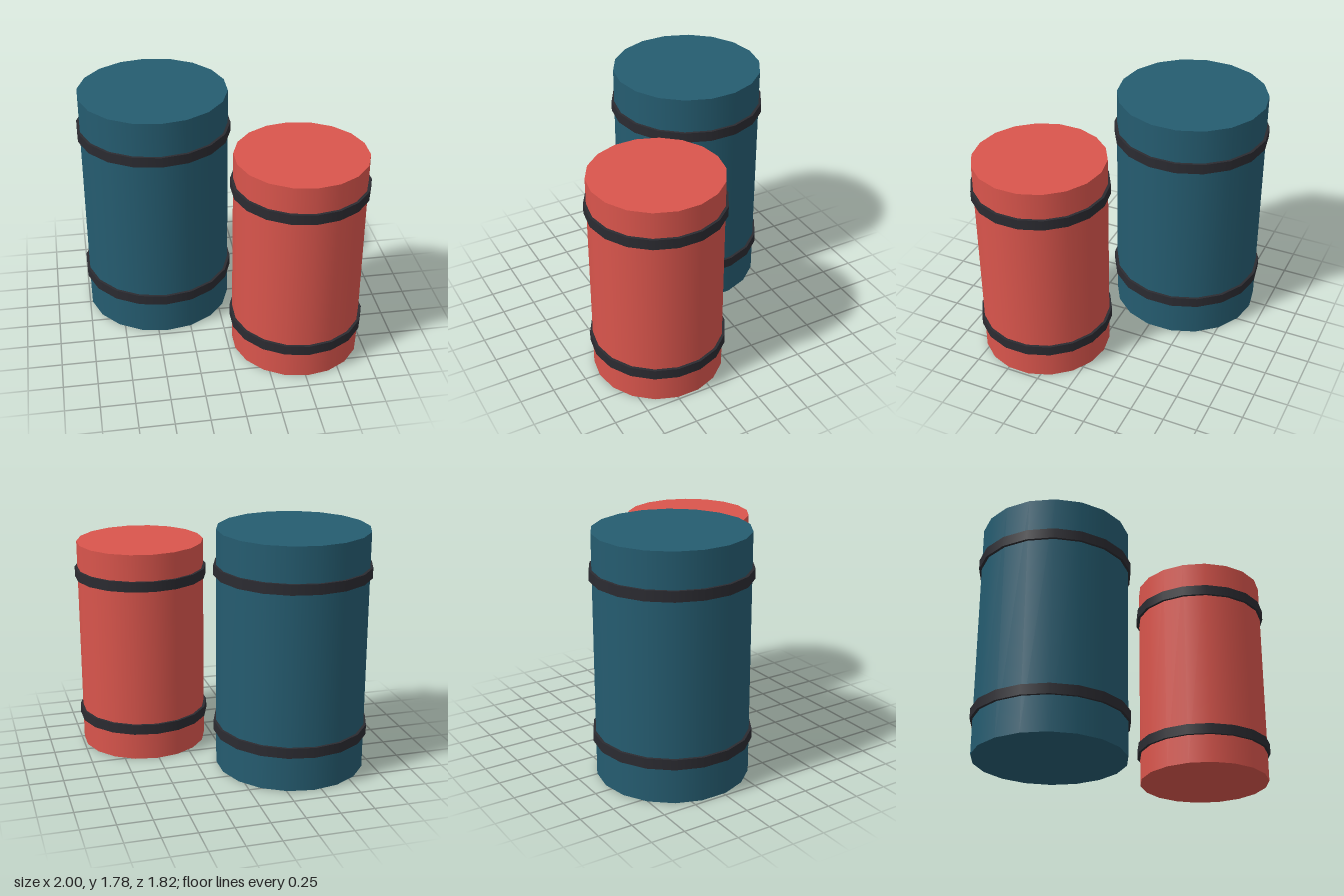
import * as THREE from 'three';

const SIDES = 18;

export function createModel() {
  const model = new THREE.Group();
  const paint = (name, color) => {
    const material = new THREE.MeshStandardMaterial({ color });
    material.name = name;
    return material;
  };
  const blue = paint('barrel blue', 0x255c70);
  const red = paint('barrel red', 0xd9554c);
  const black = paint('hoop black', 0x2b2b31);

  // Upright cylinder between two heights
  const cylinder = (name, radius, bottom, top, material) => {
    const mesh = new THREE.Mesh(
      new THREE.CylinderGeometry(radius, radius, top - bottom, SIDES), material);
    mesh.name = name;
    mesh.position.y = (bottom + top) / 2;
    return mesh;
  };

  // Barrel body with two raised hoops
  const addBarrel = (name, x, z, radius, bottom, top, hoops, material) => {
    const barrel = new THREE.Group();
    barrel.name = name;
    barrel.position.set(x, 0, z);
    barrel.add(cylinder('barrelBody', radius, bottom, top, material));
    hoops.forEach(([label, y]) =>
      barrel.add(cylinder(label, radius + 0.02, y - 0.0375, y + 0.0375, black)));
    model.add(barrel);
  };

  addBarrel('tallBarrel', -0.44, -0.335, 0.55, 0.005, 1.785,
    [['lowerHoop', 0.303], ['upperHoop', 1.492]], blue);
  addBarrel('shortBarrel', 0.513, 0.417, 0.474, 0, 1.585,
    [['lowerHoop', 0.244], ['upperHoop', 1.352]], red);

  return model;
}
